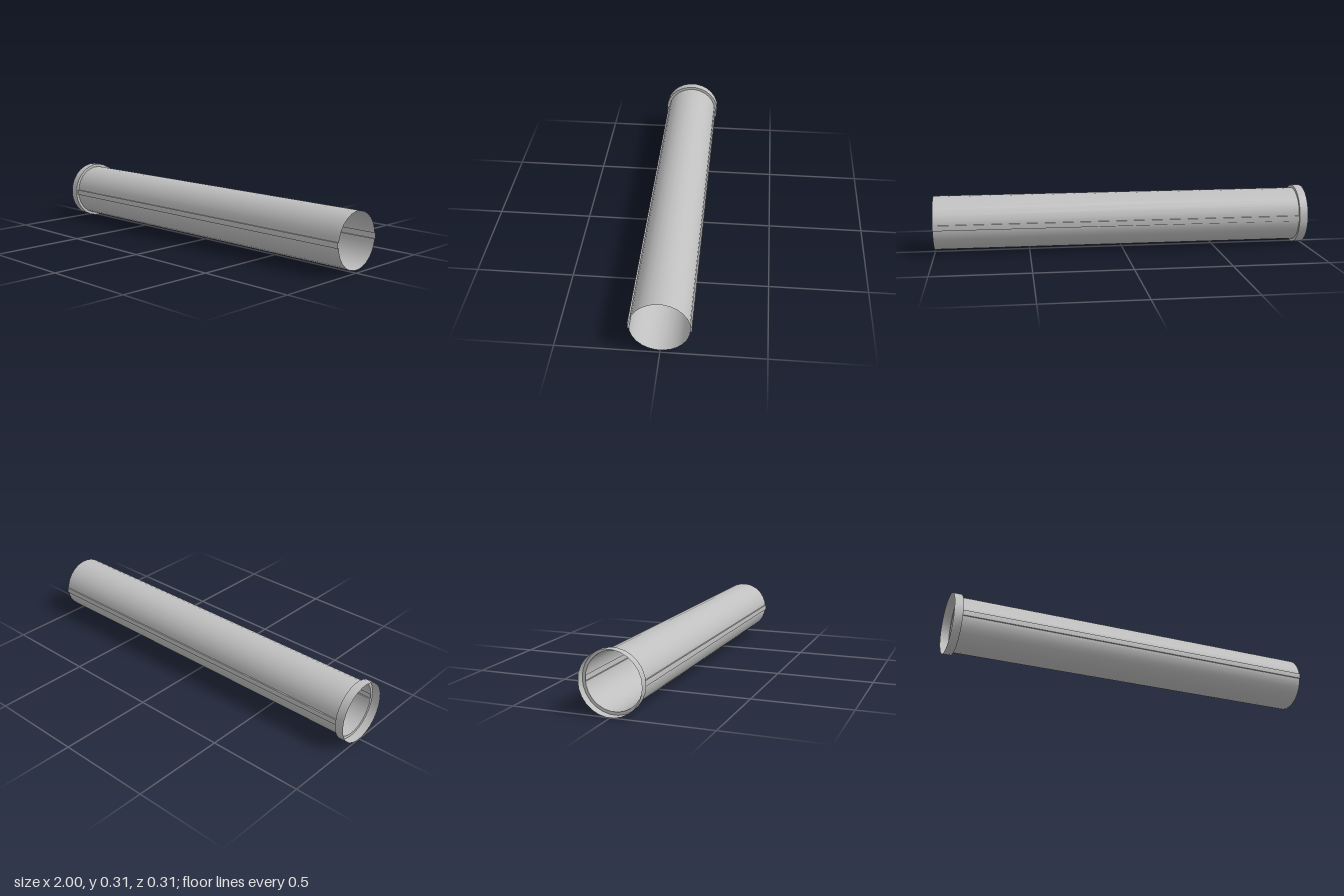
import * as THREE from 'three';
import { toCreasedNormals } from 'three/addons/utils/BufferGeometryUtils.js';

const CY = 0.157;        // axis height
const SIDES = 26;
const HALF_SLOT = 0.014; // half width of the side rails

// Cross-section as [y, z] pairs; the vertex at each side becomes a narrow flat,
// or a square channel reaching out to railZ.
function section(r, railZ) {
  const pts = [];
  const step = (Math.PI * 2) / SIDES;
  const yNext = r * Math.sin(step), zNext = r * Math.cos(step);
  const flatZ = r + (zNext - r) * (HALF_SLOT / yNext);
  for (let i = 0; i < SIDES; i++) {
    const a = i * step;
    if (i % (SIDES / 2) === 0) {
      const s = i === 0 ? 1 : -1; // +z side first, then -z side
      pts.push([-s * HALF_SLOT, s * flatZ]);
      if (railZ) pts.push([-s * HALF_SLOT, s * railZ], [s * HALF_SLOT, s * railZ]);
      pts.push([s * HALF_SLOT, s * flatZ]);
    } else {
      pts.push([r * Math.sin(a), r * Math.cos(a)]);
    }
  }
  return pts;
}

// Thin skin joining section a at x0 to section b at x1
function skin(name, a, x0, b, x1, material) {
  const pos = [];
  const put = (x, p) => pos.push(x, CY + p[0], p[1]);
  for (let i = 0; i < a.length; i++) {
    const j = (i + 1) % a.length;
    put(x0, a[i]); put(x1, b[j]); put(x1, b[i]);
    put(x0, a[i]); put(x0, a[j]); put(x1, b[j]);
  }
  const geo = new THREE.BufferGeometry();
  geo.setAttribute('position', new THREE.Float32BufferAttribute(pos, 3));
  const mesh = new THREE.Mesh(toCreasedNormals(geo, Math.PI / 6), material);
  mesh.name = name;
  return mesh;
}

export function createModel() {
  const group = new THREE.Group();
  group.name = 'pipe';
  const grey = new THREE.MeshStandardMaterial({ color: 0xc0c0c0, side: THREE.DoubleSide });
  grey.name = 'grey';

  const X_SOCKET = -0.955;
  const tube = section(0.1425, 0.148);
  const inner = section(0.1425);
  const outer = section(0.1575);

  // Long tube with a raised rail along each side
  group.add(skin('tube', tube, X_SOCKET, tube, 1, grey));
  // Wider socket at the end and the step joining it to the tube
  group.add(skin('socket', outer, -1, outer, X_SOCKET, grey));
  group.add(skin('socketStep', outer, X_SOCKET, inner, X_SOCKET, grey));
  return group;
}
